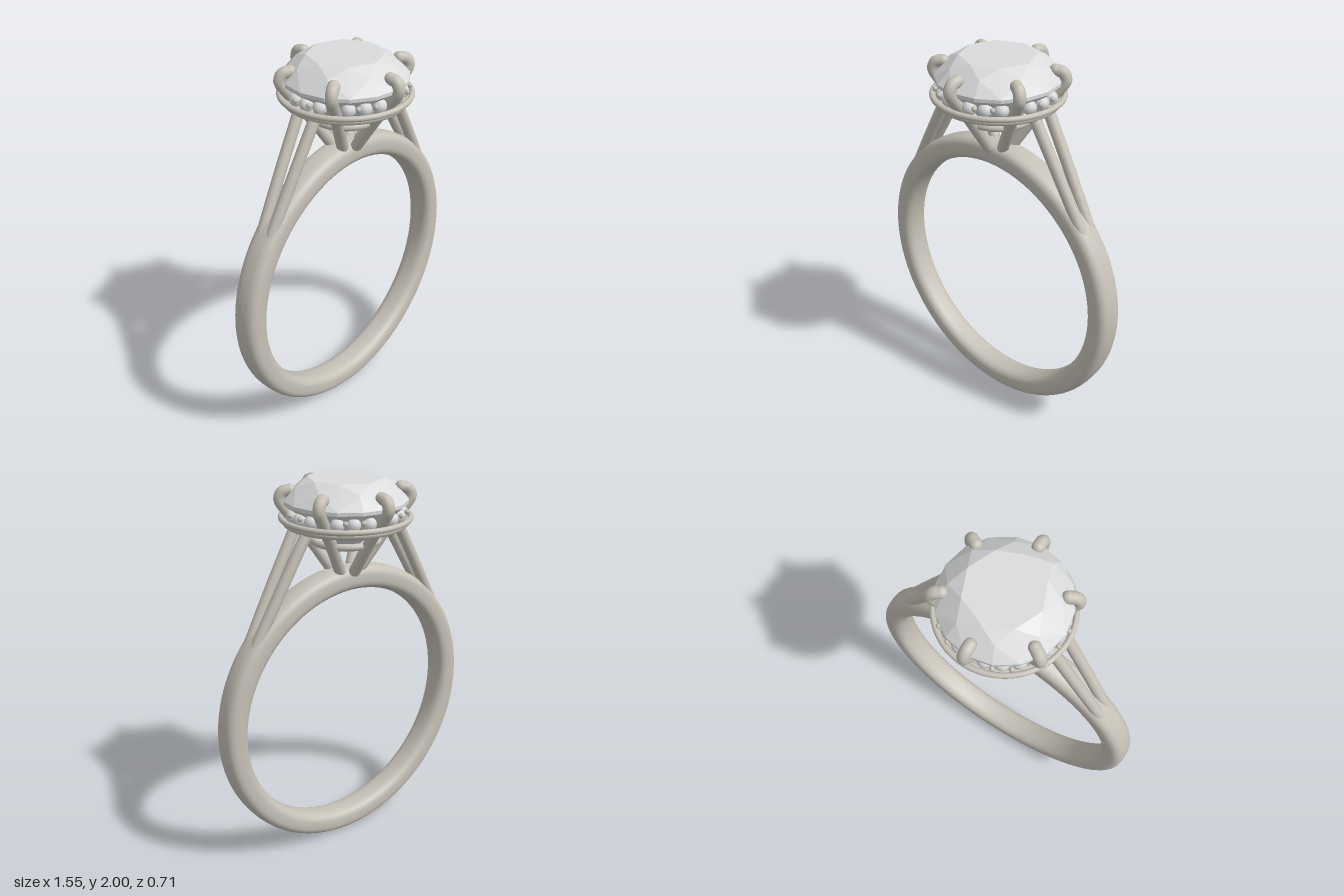
import * as THREE from 'three';

const metal = new THREE.MeshStandardMaterial({ color: 0xc5c1b7 });
metal.name = 'warm silver metal';
const crystal = new THREE.MeshStandardMaterial({ color: 0xdadbdc });
crystal.name = 'pale crystal';

const rad = THREE.MathUtils.degToRad;
const polar = (deg, r, y) => new THREE.Vector3(r * Math.cos(rad(deg)), y, r * Math.sin(rad(deg)));

function add(parent, name, geometry, material, position) {
  const mesh = new THREE.Mesh(geometry, material);
  mesh.name = name;
  if (position) mesh.position.copy(position);
  parent.add(mesh);
  return mesh;
}

// Round wire through the points, closed with a ball at each end
function wire(parent, name, points, radius, segments) {
  const group = new THREE.Group();
  group.name = name;
  const curve = new THREE.CatmullRomCurve3(points);
  add(group, name + 'Wire', new THREE.TubeGeometry(curve, segments, radius, 16), metal);
  for (const end of [points[0], points[points.length - 1]]) {
    add(group, name + 'End', new THREE.SphereGeometry(radius, 16, 12), metal, end);
  }
  parent.add(group);
  return group;
}

function ring(parent, name, radius, tube, y) {
  const mesh = add(parent, name, new THREE.TorusGeometry(radius, tube, 14, 96), metal);
  mesh.rotation.x = Math.PI / 2;
  mesh.position.y = y;
}

// Round brilliant cut with table, star, kite, girdle and pavilion facets
function brilliantGeometry() {
  const centre = new THREE.Vector3(0, 1.87, 0);
  const coords = [];
  const tri = (a, b, c) => {
    const normal = b.clone().sub(a).cross(c.clone().sub(a));
    const outward = a.clone().add(b).add(c).divideScalar(3).sub(centre);
    const order = normal.dot(outward) > 0 ? [a, b, c] : [a, c, b];
    order.forEach(p => coords.push(p.x, p.y, p.z));
  };
  const top = new THREE.Vector3(0, 2, 0);
  const culet = new THREE.Vector3(0, 1.62, 0);
  const table = d => polar(d, 0.19, 2);
  const star = d => polar(d, 0.252, 1.962);
  const upper = d => polar(d, 0.312, 1.897);
  const lower = d => polar(d, 0.312, 1.88);
  const pavilion = d => polar(d, 0.09, 1.683);
  for (let i = 0; i < 8; i++) {
    const a = i * 45, m = a + 22.5, b = a + 45;
    tri(top, table(a), table(b));
    tri(table(a), star(m), table(b));
    tri(table(a), star(m), upper(a));
    tri(table(b), star(m), upper(b));
    tri(culet, pavilion(m), lower(a));
    tri(culet, pavilion(m), lower(b));
    for (const [p, q] of [[a, m], [m, b]]) {
      tri(star(m), upper(p), upper(q));
      tri(upper(p), upper(q), lower(p));
      tri(upper(q), lower(q), lower(p));
      tri(pavilion(m), lower(p), lower(q));
    }
  }
  const geometry = new THREE.BufferGeometry();
  geometry.setAttribute('position', new THREE.Float32BufferAttribute(coords, 3));
  geometry.computeVertexNormals();
  return geometry;
}

export function createModel() {
  const model = new THREE.Group();
  model.name = 'ring';

  // Band: softly squared section swept around the finger
  const section = [];
  const soft = v => Math.sign(v) * Math.pow(Math.abs(v), 0.7);
  for (let i = 0; i <= 40; i++) {
    const t = i / 40 * Math.PI * 2;
    section.push(new THREE.Vector2(0.7125 + 0.0625 * soft(Math.cos(t)), 0.075 * soft(Math.sin(t))));
  }
  const band = add(model, 'band', new THREE.LatheGeometry(section, 128), metal);
  band.rotation.x = Math.PI / 2;
  band.position.y = 0.775;

  // Paired shoulder arms rising from the band to the halo
  for (const sx of [-1, 1]) {
    for (const sz of [-1, 1]) {
      wire(model, 'shoulderArm', [
        new THREE.Vector3(sx * 0.275, 1.775, sz * 0.052),
        new THREE.Vector3(sx * 0.42, 1.525, sz * 0.042),
        new THREE.Vector3(sx * 0.555, 1.285, sz * 0.031),
        new THREE.Vector3(sx * 0.62, 1.16, sz * 0.027),
      ], 0.029, 24);
    }
  }

  // Halo rails and the gallery ring lower in the basket
  ring(model, 'haloRail', 0.322, 0.014, 1.806);
  ring(model, 'haloBase', 0.298, 0.019, 1.785);
  ring(model, 'galleryRing', 0.165, 0.018, 1.69);

  // Main stone
  add(model, 'mainStone', brilliantGeometry(), crystal);

  // Six prongs, with small stones and beads in the gaps between them
  const prongPath = [[0.075, 1.54], [0.155, 1.66], [0.235, 1.775], [0.305, 1.86],
    [0.327, 1.9], [0.312, 1.935], [0.275, 1.944]];
  const stoneGeometry = new THREE.IcosahedronGeometry(0.036, 1);
  const beadGeometry = new THREE.SphereGeometry(0.013, 12, 8);
  for (let i = 0; i < 6; i++) {
    const gap = i * 60;
    wire(model, 'prong', prongPath.map(([r, y]) => polar(gap + 30, r, y)), 0.03, 40);
    for (const d of [-16, 0, 16]) {
      add(model, 'haloStone', stoneGeometry, crystal, polar(gap + d, 0.275, 1.83));
    }
    for (const d of [-8, 8]) {
      add(model, 'haloBead', beadGeometry, metal, polar(gap + d, 0.308, 1.845));
    }
  }
  return model;
}
